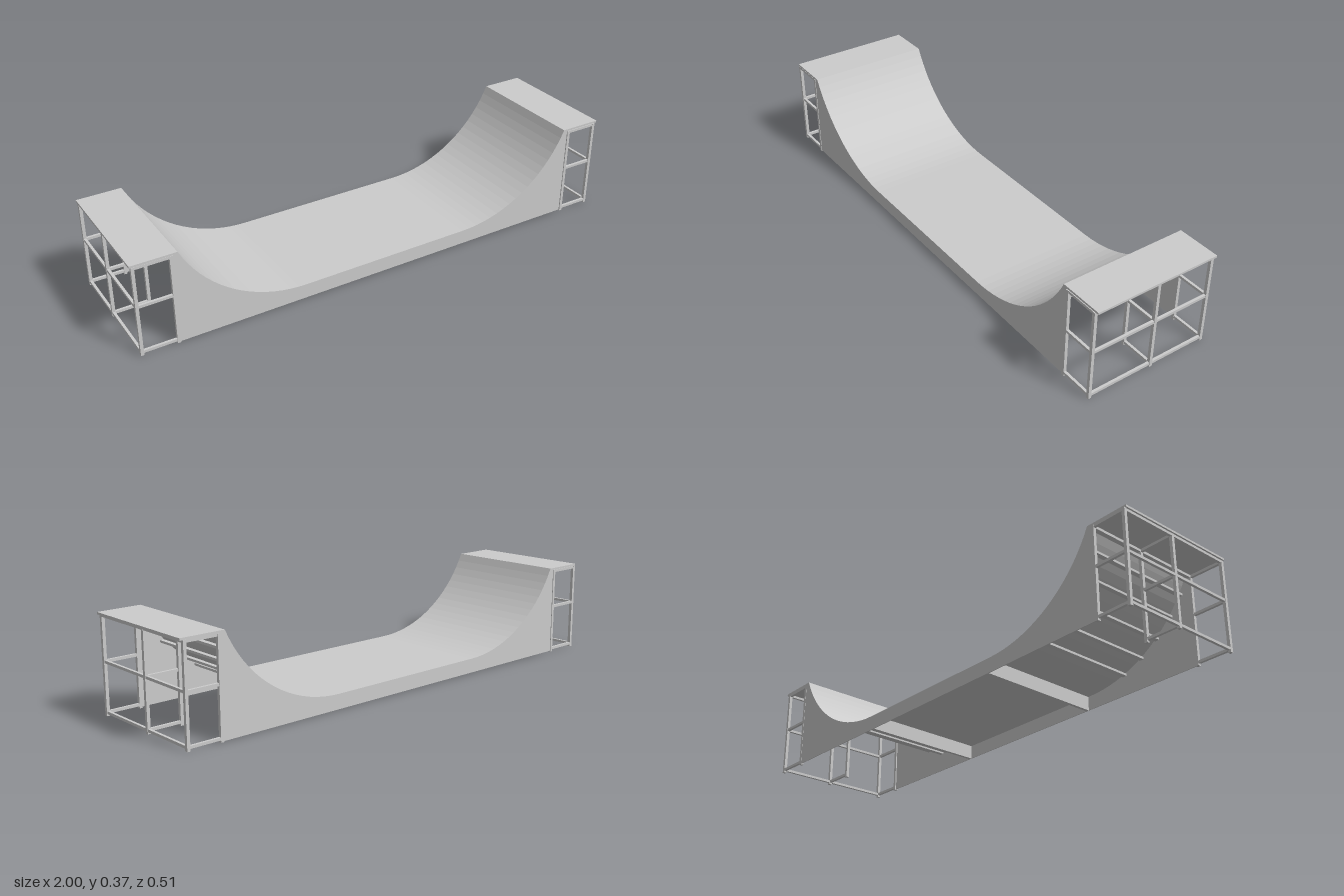
import * as THREE from 'three';

const grey = new THREE.MeshStandardMaterial({ color: 0xcccccc, flatShading: true, side: THREE.DoubleSide });
const FLAT_X = 0.35, FLAT_Y = 0.06, HALF_Z = 0.251, BAR = 0.012;

function add(group, name, geometry, x = 0, y = 0, z = 0) {
  const mesh = new THREE.Mesh(geometry, grey);
  mesh.name = name;
  mesh.position.set(x, y, z);
  group.add(mesh);
}

function addBox(group, name, w, h, d, x, y, z) {
  add(group, name, new THREE.BoxGeometry(w, h, d), x, y, z);
}

// Circular transition, tangent to the flat floor and ending at the platform lip
function transition(topX, topY) {
  const dx = topX - FLAT_X, dy = topY - FLAT_Y;
  const r = (dx * dx + dy * dy) / (2 * dy);
  const end = Math.asin(dx / r);
  const points = [];
  for (let i = 0; i <= 18; i++) {
    const a = (end * i) / 18;
    points.push([FLAT_X + r * Math.sin(a), FLAT_Y + r * (1 - Math.cos(a))]);
  }
  const xAt = (y) => FLAT_X + Math.sqrt(r * r - (r - (y - FLAT_Y)) ** 2);
  return { points, xAt };
}

function extrude(points, depth) {
  const shape = new THREE.Shape(points.map(([x, y]) => new THREE.Vector2(x, y)));
  return new THREE.ExtrudeGeometry(shape, { depth, bevelEnabled: false });
}

// Platform deck on a frame of square bars; outer and inner are leg centre lines
function platformFrame(name, outer, inner, edge, lip, top, shiftZ) {
  const g = new THREE.Group();
  g.name = name;
  const deck = 0.008, legTop = top - deck;
  addBox(g, 'deck', Math.abs(edge - lip), deck, 2 * HALF_Z, (edge + lip) / 2, top - deck / 2, 0);
  const rows = [0.249, -0.014, -0.246].map((z) => z + shiftZ);
  const levels = [0.013, 0.196, legTop - 0.005];
  const span = Math.abs(outer - inner);
  for (const z of rows) {
    for (const x of [outer, inner]) addBox(g, 'leg', BAR, legTop, BAR, x, legTop / 2, z);
    for (const y of levels) addBox(g, 'crossRail', span, 0.01, 0.01, (outer + inner) / 2, y, z);
  }
  const length = rows[0] - rows[2], midZ = (rows[0] + rows[2]) / 2;
  for (const y of levels) addBox(g, 'outerRail', 0.01, 0.01, length, outer, y, midZ);
  addBox(g, 'innerTopRail', 0.01, 0.01, length, inner, levels[2], midZ);
  return g;
}

export function createModel() {
  const model = new THREE.Group();
  model.name = 'halfPipe';
  const leftTop = 0.372, rightTop = 0.361, lipX = 0.83;
  const left = transition(lipX, leftTop);
  const right = transition(lipX, rightTop);
  const curve = [...right.points.map(([x, y]) => [-x, y]).reverse(), ...left.points];

  // Riding surface: a thin sheet following the curve
  const under = curve.map(([x, y]) => [x, y - 0.003]).reverse();
  add(model, 'ridingSurface', extrude([...curve, ...under], 2 * HALF_Z), 0, 0, -HALF_Z);

  // Side panels
  const outline = [[-0.848, 0.003], [-0.848, rightTop - 0.004], ...curve, [0.85, leftTop - 0.004], [0.85, 0.003]];
  const panel = extrude(outline, 0.003);
  add(model, 'frontPanel', panel, 0, 0, HALF_Z - 0.003);
  add(model, 'backPanel', panel, 0, 0, -HALF_Z);

  // Upright boards under the floor and joists under the transitions
  for (const [side, t] of [[1, left], [-1, right]]) {
    addBox(model, 'floorBoard', 0.012, FLAT_Y - 0.004, 2 * HALF_Z - 0.006, side * 0.335, FLAT_Y / 2, 0);
    for (const y of [0.081, 0.117, 0.166, 0.228, 0.295]) {
      addBox(model, 'joist', 0.018, 0.009, 2 * HALF_Z - 0.006, side * (t.xAt(y + 0.005) + 0.01), y, 0);
    }
  }

  // Platforms at both ends
  model.add(platformFrame('leftPlatform', 0.982, 0.852, 1, lipX, leftTop, 0));
  model.add(platformFrame('rightPlatform', -0.989, -0.854, -1, -lipX, rightTop, -0.002));
  return model;
}
